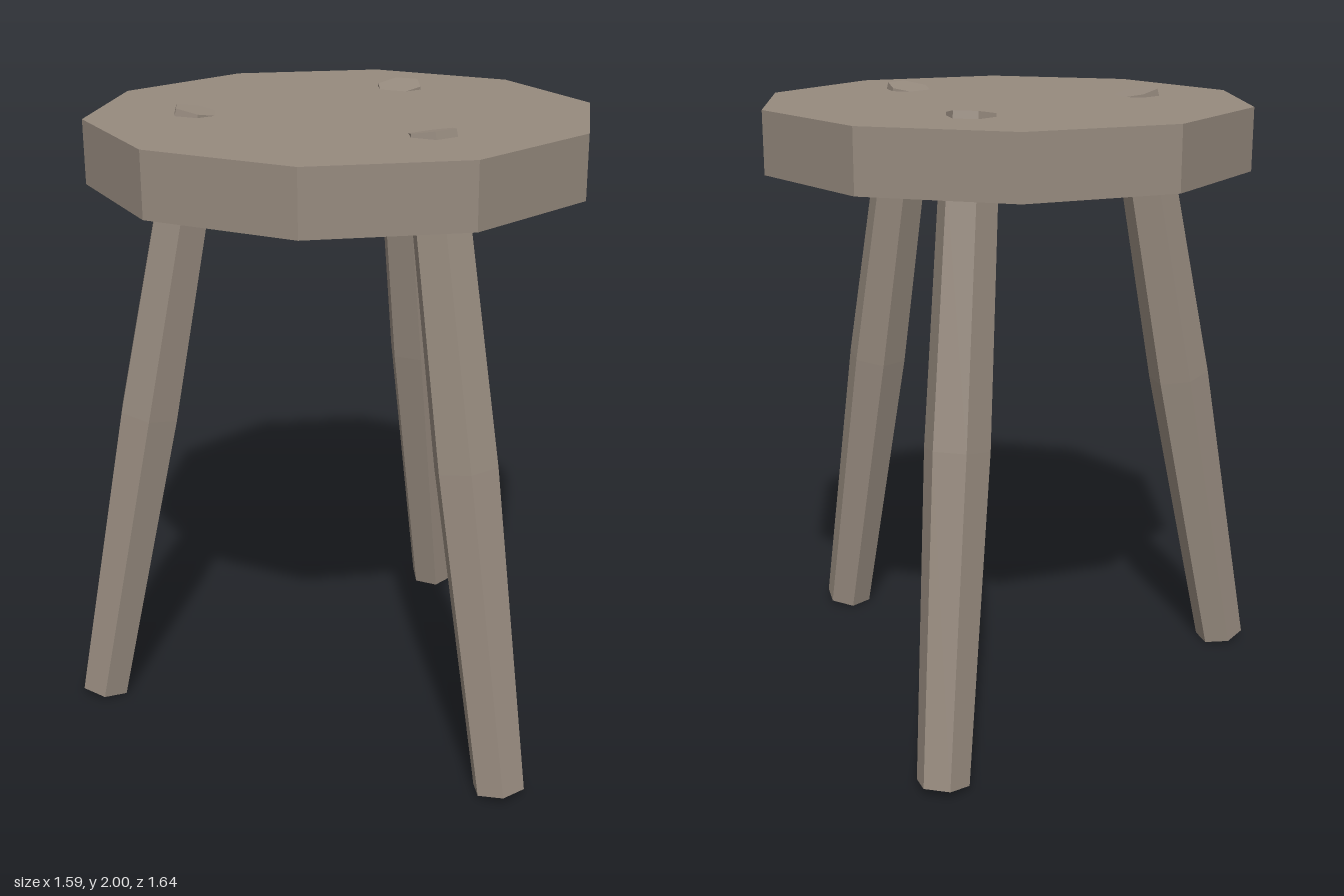
import * as THREE from 'three';

export function createModel() {
  const wood = new THREE.MeshStandardMaterial({ color: 0x968a7e });
  wood.name = 'weatheredWood';
  wood.flatShading = true;

  const stool = new THREE.Group();
  stool.name = 'stool';
  stool.position.set(-0.01, 0, 0.075);

  // Ten-sided seat slab, corners on the x axis
  const seatGeometry = new THREE.CylinderGeometry(0.78, 0.78, 0.195, 10);
  seatGeometry.rotateY(Math.PI / 10);
  const seat = new THREE.Mesh(seatGeometry, wood);
  seat.name = 'seat';
  seat.position.y = 1.8775;
  stool.add(seat);

  // Six-sided leg, thickest in the middle, leaning in and poking through the seat
  const footRadius = 0.825, topRadius = 0.437, footY = 0.015, topY = 1.985;
  const run = footRadius - topRadius, rise = topY - footY;
  const length = Math.hypot(run, rise);
  const profile = [
    [0, 0], [0.083, 0], [0.102, 0.51], [0.09, 0.9], [0.075, 1], [0, 1],
  ].map(([r, t]) => new THREE.Vector2(r, t * length));
  const legGeometry = new THREE.LatheGeometry(profile, 6);
  legGeometry.rotateY(Math.PI / 6);
  legGeometry.rotateX(-Math.atan2(run, rise));
  legGeometry.translate(0, footY, footRadius);

  // Three legs spaced evenly around the seat
  ['backLeg', 'rightLeg', 'leftLeg'].forEach((name, i) => {
    const leg = new THREE.Mesh(legGeometry, wood);
    leg.name = name;
    leg.rotation.y = THREE.MathUtils.degToRad(181.7 + i * 120);
    stool.add(leg);
  });

  const model = new THREE.Group();
  model.name = 'threeLeggedStool';
  model.add(stool);
  return model;
}
